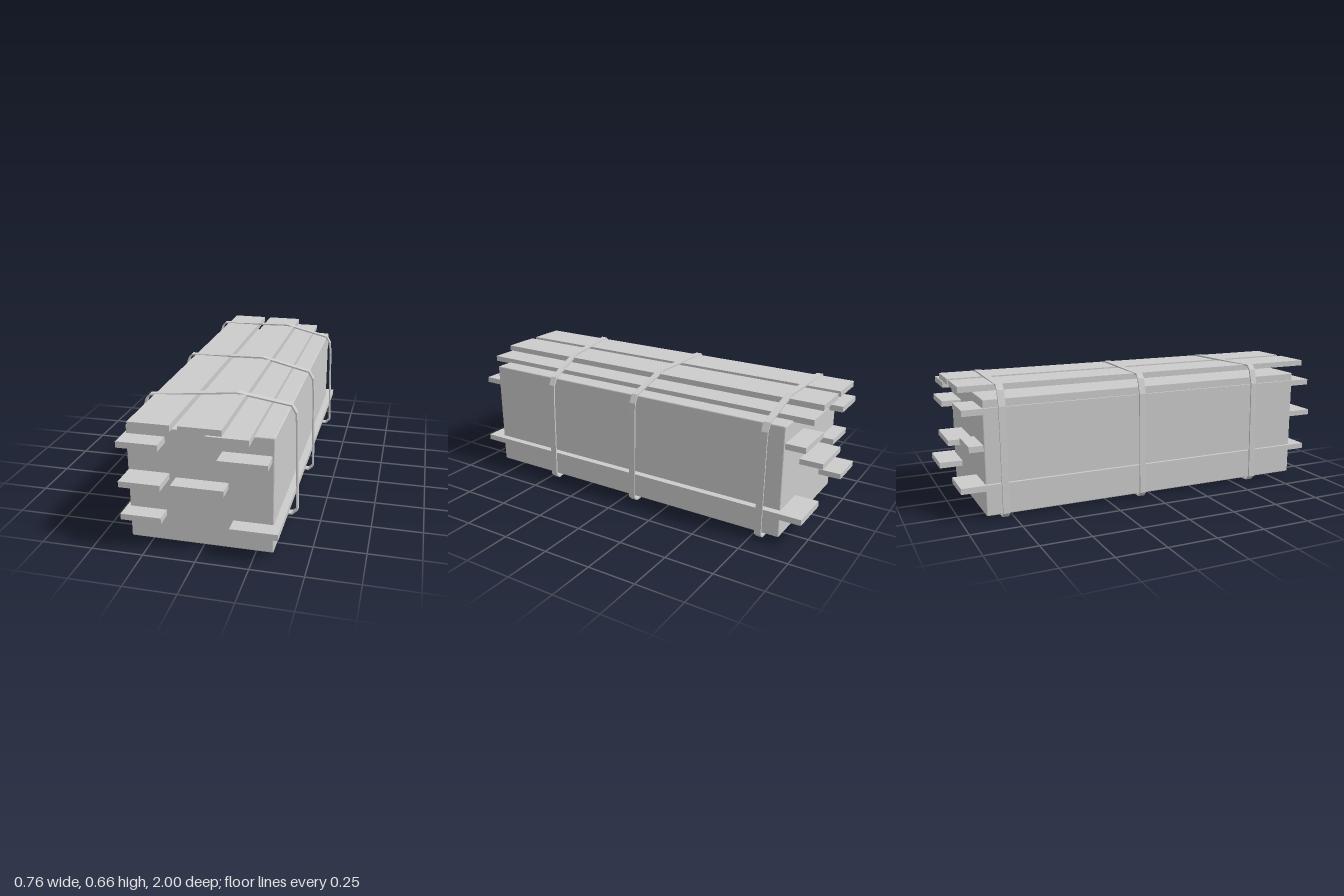
import * as THREE from 'three';
import { RoundedBoxGeometry } from 'three/addons/geometries/RoundedBoxGeometry.js';

const grey = new THREE.MeshStandardMaterial({ color: 0xcccccc, flatShading: true });

function add(group, geometry, name) {
  const mesh = new THREE.Mesh(geometry, grey);
  mesh.name = name;
  group.add(mesh);
  return mesh;
}

// Plank given by its x, y and z limits
function addPlank(group, [x0, x1, y0, y1, z0, z1]) {
  const plank = add(group, new THREE.BoxGeometry(x1 - x0, y1 - y0, z1 - z0), 'plank');
  plank.position.set((x0 + x1) / 2, (y0 + y1) / 2, (z0 + z1) / 2);
}

// Strap outline, running round the bundle
const outline = [
  [-0.355, 0.006], [0, 0.002], [0.355, 0.006], [0.38, 0.03], [0.368, 0.48], [0.362, 0.553],
  [0.338, 0.594], [0.08, 0.657], [-0.325, 0.648], [-0.345, 0.625], [-0.368, 0.55], [-0.38, 0.03],
].map(([x, y]) => new THREE.Vector2(x, y));

// The inner edge is the outline offset inward by the strap's thickness
function inset(points, t) {
  const n = points.length;
  return points.map((p, i) => {
    const a = p.clone().sub(points[(i + n - 1) % n]).normalize();
    const b = points[(i + 1) % n].clone().sub(p).normalize();
    const m = new THREE.Vector2(-a.y - b.y, a.x + b.x).normalize();
    const cos = m.x * -a.y + m.y * a.x;
    return p.clone().addScaledVector(m, t / cos);
  });
}

// Closed band; zLeft and zRight differ where the strap runs askew
function addStrap(group, zLeft, zRight) {
  const width = 0.034;
  const shape = new THREE.Shape(outline);
  shape.holes.push(new THREE.Path(inset(outline, 0.008)));
  const g = new THREE.ExtrudeGeometry(shape, { depth: width, bevelEnabled: false });
  const p = g.attributes.position;
  for (let i = 0; i < p.count; i++) {
    const t = THREE.MathUtils.clamp((p.getX(i) + 0.325) / 0.65, 0, 1);
    p.setZ(i, p.getZ(i) - width / 2 + THREE.MathUtils.lerp(zRight, zLeft, t));
  }
  g.computeVertexNormals();
  add(group, g, 'strap');
}

export function createModel() {
  const model = new THREE.Group();
  model.name = 'strappedBundle';

  // Solid core with slightly bevelled edges
  const core = add(model, new RoundedBoxGeometry(0.685, 0.57, 1.75, 1, 0.005), 'core');
  core.position.set(-0.0075, 0.303, -0.005);

  // Planks on top and poking out of both ends
  const planks = new THREE.Group();
  planks.name = 'planks';
  [
    [-0.30, -0.106, 0.617, 0.646, -0.98, 0.97],
    [-0.071, 0.125, 0.617, 0.646, -0.98, 0.97],
    [0.049, 0.244, 0.582, 0.611, -0.98, 0.97],
    [-0.36, -0.165, 0.517, 0.547, -0.98, 0.97],
    [0.10, 0.325, 0.474, 0.503, -0.98, 0.97],
    [-0.346, -0.151, 0.339, 0.368, -0.95, 1.0],
    [-0.12, 0.127, 0.323, 0.351, -1.0, 0.955],
    [-0.365, -0.17, 0.149, 0.178, -1.0, 0.955],
    [0.147, 0.37, 0.134, 0.164, -1.0, 0.95],
  ].forEach((limits) => addPlank(planks, limits));
  model.add(planks);

  // Two straight straps and one askew
  const straps = new THREE.Group();
  straps.name = 'straps';
  [[-0.79, -0.79], [-0.065, -0.065], [0.46, 0.605]].forEach(([l, r]) => addStrap(straps, l, r));
  model.add(straps);

  return model;
}
